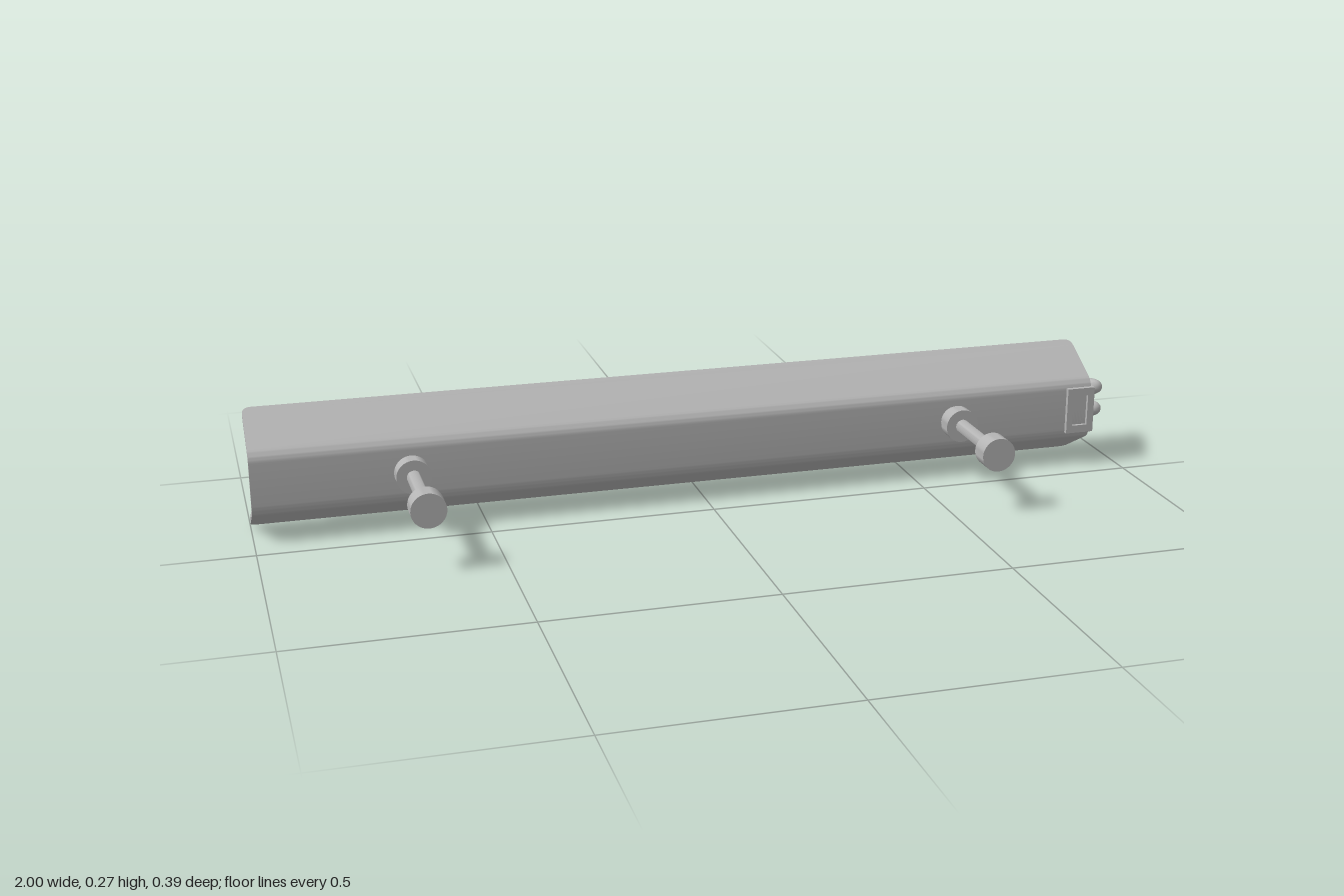
import * as THREE from 'three';
import { toCreasedNormals } from 'three/addons/utils/BufferGeometryUtils.js';

const CY = 0.138;          // height of the fixture's axis
const X0 = -1, X1 = 0.935; // ends of the reflector
const T = 0.012;           // sheet thickness

export function createModel() {
  const model = new THREE.Group();
  const metal = new THREE.MeshStandardMaterial({ color: 0xb4b4b4 });
  metal.name = 'greyMetal';

  function add(name, geo, x = 0, y = 0, z = 0, parent = model) {
    const mesh = new THREE.Mesh(geo, metal);
    mesh.name = name;
    mesh.position.set(x, y, z);
    parent.add(mesh);
    return mesh;
  }
  // box given by its limits
  function box(name, x0, x1, y0, y1, z0, z1, parent) {
    add(name, new THREE.BoxGeometry(x1 - x0, y1 - y0, z1 - z0),
      (x0 + x1) / 2, (y0 + y1) / 2, (z0 + z1) / 2, parent);
  }
  // turned part from [radius, distance] pairs, axis along +z or +x
  function turned(points, axis) {
    const lathe = new THREE.LatheGeometry(points.map(p => new THREE.Vector2(p[0], p[1])), 32);
    if (axis === 'z') lathe.rotateX(Math.PI / 2);
    else lathe.rotateZ(-Math.PI / 2);
    return toCreasedNormals(lathe, 0.6);
  }

  // Reflector spine: upright web with a rounded bend at top and bottom
  const bend = THREE.MathUtils.degToRad(61), half = 0.048, R = 0.03, cz = -0.09;
  const outline = [];
  for (const [r, dir] of [[R, 1], [R - T, -1]]) {
    const side = [];
    for (const s of [-1, 1]) {
      for (let i = 0; i <= 8; i++) {
        const a = bend * (s < 0 ? 1 - i / 8 : i / 8);
        side.push(new THREE.Vector2(-(cz + r * Math.cos(a)), CY + s * (half + r * Math.sin(a))));
      }
    }
    outline.push(...(dir > 0 ? side : side.reverse()));
  }
  const spine = new THREE.ExtrudeGeometry(new THREE.Shape(outline), { depth: X1 - X0, bevelEnabled: false });
  spine.rotateY(Math.PI / 2);
  add('reflectorSpine', toCreasedNormals(spine, 0.5), X0);

  // Reflector wings: sloping plates with rounded outer corners
  const W = 0.125, c = 0.02;
  const wing = new THREE.Shape();
  wing.moveTo(X0, 0);
  wing.lineTo(X1, 0);
  wing.lineTo(X1, W - c);
  wing.quadraticCurveTo(X1, W, X1 - c, W);
  wing.lineTo(X0 + c, W);
  wing.quadraticCurveTo(X0, W, X0, W - c);
  for (const s of [1, -1]) {
    const geo = new THREE.ExtrudeGeometry(wing, { depth: T, bevelEnabled: false, curveSegments: 6 });
    if (s > 0) geo.translate(0, 0, -T);
    const sn = Math.sin(bend), cs = Math.cos(bend);
    geo.applyMatrix4(new THREE.Matrix4().makeBasis(
      new THREE.Vector3(1, 0, 0), new THREE.Vector3(0, s * cs, -sn), new THREE.Vector3(0, sn, s * cs)));
    add(s > 0 ? 'upperWing' : 'lowerWing', geo, 0, CY + s * (half + R * sn), cz + R * cs);
  }

  // Mounting posts with a foot and an end knob
  for (const x of [-0.66, 0.595]) {
    add('mountingPost', turned([
      [0, -0.065], [0.034, -0.065], [0.034, -0.05], [0.038, -0.05], [0.038, -0.015], [0.0155, -0.015],
      [0.0155, 0.15], [0.038, 0.15], [0.038, 0.195], [0, 0.195]], 'z'), x, CY + 0.001, 0);
  }

  // Lamp rod with its collar at the socket
  const rodZ = -0.145;
  add('lampRod', turned([
    [0, -0.91], [0.024, -0.91], [0.024, 0.8], [0.034, 0.8], [0.034, 0.825], [0.046, 0.825],
    [0.046, 0.845], [0.034, 0.845], [0.034, 0.88], [0, 0.88]], 'x'), 0, CY, rodZ);

  // Far end support: post, ring and domed cap facing the back
  const dome = [];
  for (let i = 0; i <= 8; i++) {
    const a = (Math.PI / 2) * i / 8;
    dome.push([0.037 * Math.sin(a), -0.158 - 0.037 * Math.cos(a)]);
  }
  add('endSupport', turned([...dome,
    [0.037, -0.128], [0.046, -0.128], [0.046, -0.112], [0.022, -0.112],
    [0.022, -0.07], [0, -0.07]], 'z'), -0.915, CY, 0);

  // Socket housing: shell open at the end, holding two terminal blocks
  const socket = new THREE.Group();
  socket.name = 'socket';
  model.add(socket);
  const yb = CY - 0.054, yt = CY + 0.054, xa = 0.873, xb = 0.94, w = 0.005;
  box('housingTop', xa, xb, yt - w, yt, -0.193, -0.054, socket);
  box('housingBottom', xa, xb, yb, yb + w, -0.193, -0.054, socket);
  box('housingBack', xa, xb, yb + w, yt - w, -0.193, -0.186, socket);
  box('housingInner', xa, xa + w, yb + w, yt - w, -0.186, -0.054, socket);
  box('housingCore', xa + w, xb - 0.008, yb + w, yt - w, -0.09, -0.06, socket);
  for (const s of [-1, 1]) {
    box('terminalBlock', xa + w, xb - 0.003, CY + s * 0.025 - 0.0235, CY + s * 0.025 + 0.0235,
      -0.186, -0.09, socket);
  }

  // Front frame of the socket with a rectangular window
  const frame = new THREE.Shape([[xa, yb], [xb, yb], [xb, yt], [xa, yt]].map(p => new THREE.Vector2(...p)));
  frame.holes.push(new THREE.Path([[xa + 0.014, yb + 0.018], [xa + 0.014, yt - 0.018],
    [xb - 0.016, yt - 0.018], [xb - 0.016, yb + 0.018]].map(p => new THREE.Vector2(...p))));
  add('socketFrame', new THREE.ExtrudeGeometry(frame, { depth: 0.008, bevelEnabled: false }), 0, 0, -0.058, socket);

  // Two cable loops at the socket end
  for (const y of [CY - 0.026, CY + 0.028]) {
    const r = 0.023, pts = [new THREE.Vector3(0.92, y, -0.14 + r), new THREE.Vector3(0.945, y, -0.14 + r)];
    for (let i = 0; i <= 8; i++) {
      const a = Math.PI * (0.5 - i / 8);
      pts.push(new THREE.Vector3(0.9635 + r * Math.cos(a), y, -0.14 + r * Math.sin(a)));
    }
    pts.push(new THREE.Vector3(0.945, y, -0.14 - r), new THREE.Vector3(0.92, y, -0.14 - r));
    add('cableLoop', new THREE.TubeGeometry(new THREE.CatmullRomCurve3(pts), 40, 0.0135, 16), 0, 0, 0, socket);
  }
  return model;
}
